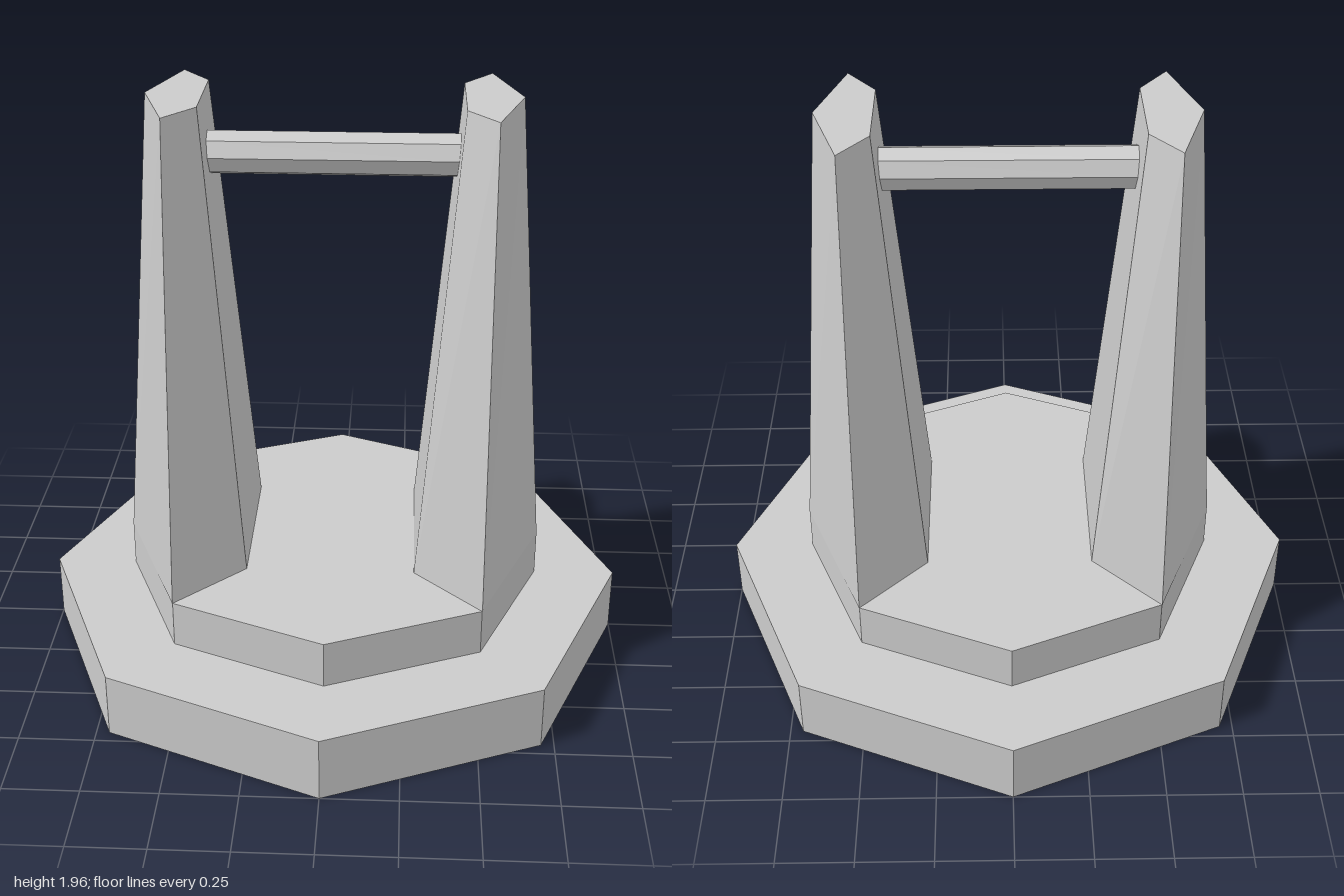
import * as THREE from 'three';

const grey = new THREE.MeshStandardMaterial({ color: 0xcccccc, flatShading: true });

// Octagonal prism with corners on the axes
function octagon(name, radius, height, y) {
  const mesh = new THREE.Mesh(new THREE.CylinderGeometry(radius, radius, height, 8), grey);
  mesh.name = name;
  mesh.position.y = y;
  return mesh;
}

// Solid between two [x, z] loops, counter-clockwise seen from above
function loft(lower, y0, upper, y1) {
  const n = lower.length;
  const positions = [];
  const index = [];
  lower.forEach(([x, z]) => positions.push(x, y0, z));
  upper.forEach(([x, z]) => positions.push(x, y1, z));
  for (let i = 0; i < n; i++) {
    const j = (i + 1) % n;
    index.push(i, j, n + j, i, n + j, n + i);
  }
  for (let i = 1; i < n - 1; i++) {
    index.push(0, i + 1, i, n, n + i, n + i + 1);
  }
  const geometry = new THREE.BufferGeometry();
  geometry.setAttribute('position', new THREE.Float32BufferAttribute(positions, 3));
  geometry.setIndex(index);
  const flat = geometry.toNonIndexed();
  flat.computeVertexNormals();
  return flat;
}

export function createModel() {
  const model = new THREE.Group();
  model.name = 'pillarStand';

  // Stepped octagonal base
  model.add(octagon('lowerBase', 1, 0.22, 0.11));
  model.add(octagon('upperBase', 0.72, 0.16, 0.3));

  // Tapering five-sided pillars, one on each side
  const foot = [[0.72, 0], [0.51, -0.51], [0.285, -0.285], [0.285, 0.285], [0.51, 0.51]];
  const head = [[0.6, 0], [0.51, -0.285], [0.415, -0.16], [0.415, 0.16], [0.51, 0.285]];
  const pillar = loft(foot, 0.38, head, 1.96);
  for (const [name, turn] of [['leftPillar', 0], ['rightPillar', Math.PI]]) {
    const mesh = new THREE.Mesh(pillar, grey);
    mesh.name = name;
    mesh.rotation.y = turn;
    model.add(mesh);
  }

  // Bar between the pillar tops
  const bar = octagon('crossbar', 0.072, 0.82, 1.768);
  bar.rotation.z = Math.PI / 2;
  model.add(bar);

  return model;
}
